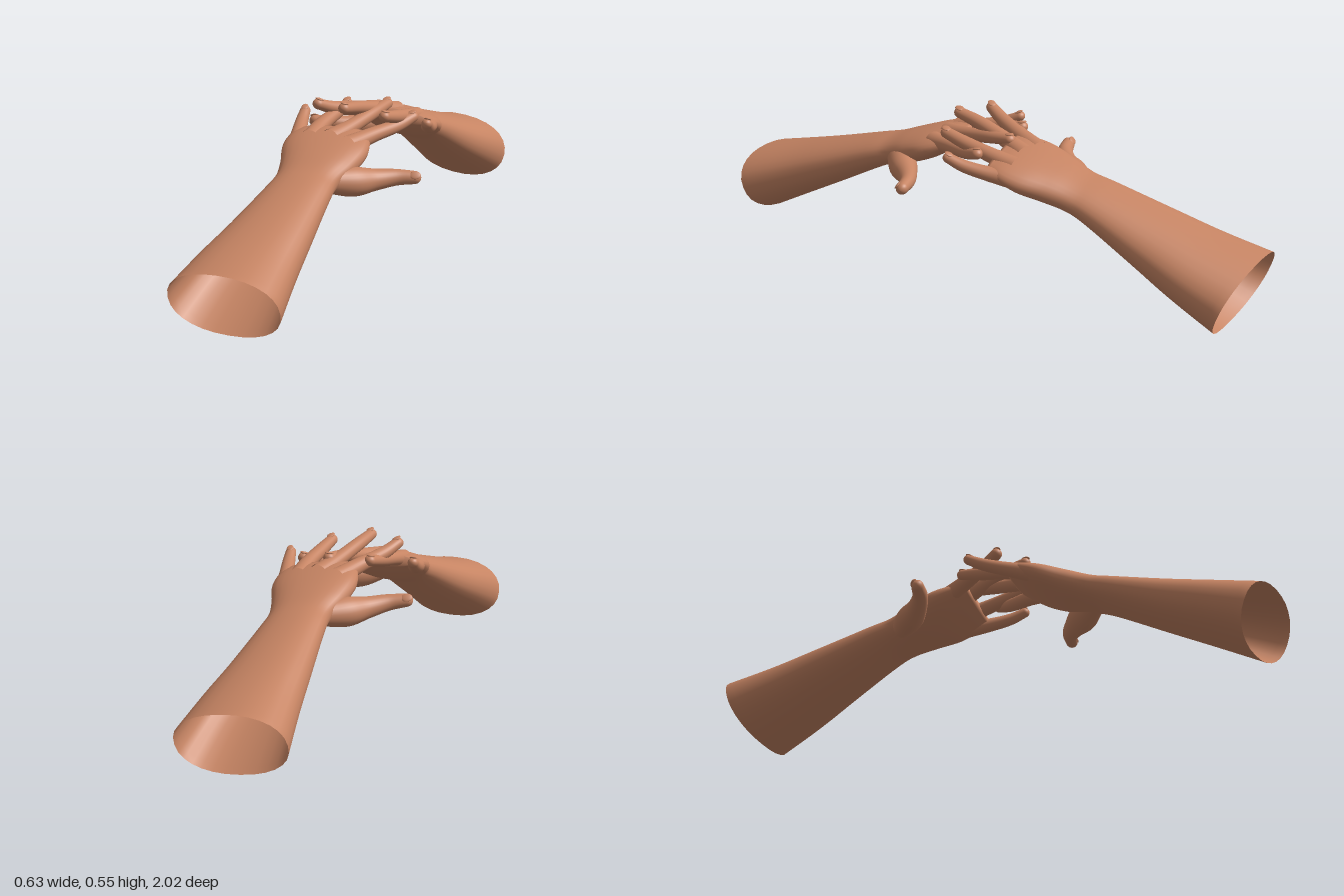
import * as THREE from 'three';

const skin = new THREE.MeshStandardMaterial({ color: 0xc68463, side: THREE.DoubleSide });
skin.name = 'skin';
const SIDES = 28;

// Skin a list of rings { c, right, up } into a smooth tube, closed at its far end.
function loft(rings, power = 1) {
  const pos = [], idx = [];
  const bend = v => Math.sign(v) * Math.pow(Math.abs(v), power);
  for (const { c, right, up } of rings) {
    for (let j = 0; j < SIDES; j++) {
      const a = (j / SIDES) * Math.PI * 2;
      const p = c.clone().addScaledVector(right, bend(Math.cos(a))).addScaledVector(up, bend(Math.sin(a)));
      pos.push(p.x, p.y, p.z);
    }
  }
  for (let i = 0; i < rings.length - 1; i++) {
    for (let j = 0; j < SIDES; j++) {
      const k = (j + 1) % SIDES;
      const a = i * SIDES + j, b = i * SIDES + k;
      idx.push(a, a + SIDES, b, b, a + SIDES, b + SIDES);
    }
  }
  const last = (rings.length - 1) * SIDES;
  const end = rings[rings.length - 1].c;
  pos.push(end.x, end.y, end.z);
  for (let j = 0; j < SIDES; j++) idx.push(last + SIDES, last + ((j + 1) % SIDES), last + j);
  const g = new THREE.BufferGeometry();
  g.setAttribute('position', new THREE.Float32BufferAttribute(pos, 3));
  g.setIndex(idx);
  g.computeVertexNormals();
  return g;
}

function part(geometry, name) {
  const m = new THREE.Mesh(geometry, skin);
  m.name = name;
  return m;
}

const curve = pts => new THREE.CatmullRomCurve3(pts, false, 'catmullrom', 0.5);

// Forearm, wrist and palm: centre x, y, z, half width, half height, sideways slant
const ARM = [
  [-0.13, 0.107, 0.96, 0.188, 0.107, 0.147],
  [-0.115, 0.17, 0.8, 0.164, 0.088, 0.14],
  [-0.093, 0.232, 0.65, 0.139, 0.072, 0.13],
  [-0.068, 0.312, 0.46, 0.111, 0.052, 0.08],
  [-0.06, 0.34, 0.38, 0.106, 0.047, 0.03],
  [-0.051, 0.368, 0.3, 0.126, 0.049, 0],
  [-0.052, 0.398, 0.22, 0.146, 0.045, 0],
  [-0.054, 0.424, 0.155, 0.14, 0.034, 0],
  [-0.052, 0.442, 0.105, 0.115, 0.019, 0],
];

function armGeometry() {
  const centre = curve(ARM.map(s => new THREE.Vector3(s[0], s[1], s[2])));
  const size = curve(ARM.map(s => new THREE.Vector3(s[3], s[4], s[5])));
  const rings = [];
  for (let i = 0; i <= 48; i++) {
    const c = centre.getPoint(i / 48), s = size.getPoint(i / 48);
    rings.push({
      c,
      right: new THREE.Vector3(s.x, 0, s.x * s.z),
      up: new THREE.Vector3(0, s.y, s.y * 0.38),
    });
  }
  return loft(rings, 0.9);
}

// Digits: centre x, y, z and radius from the root to the tip
const DIGITS = {
  littleFinger: [[-0.155, 0.405, 0.2, 0.034], [-0.176, 0.427, 0.11, 0.026], [-0.19, 0.45, 0.035, 0.022], [-0.195, 0.475, -0.018, 0.018]],
  ringFinger: [[-0.112, 0.43, 0.18, 0.034], [-0.104, 0.454, 0.09, 0.027], [-0.085, 0.474, -0.01, 0.024], [-0.066, 0.492, -0.09, 0.02]],
  middleFinger: [[-0.04, 0.435, 0.18, 0.036], [0.003, 0.458, 0.09, 0.027], [0.044, 0.482, -0.02, 0.024], [0.07, 0.497, -0.11, 0.02]],
  indexFinger: [[0.025, 0.42, 0.2, 0.036], [0.078, 0.437, 0.11, 0.028], [0.138, 0.452, 0.015, 0.024], [0.178, 0.472, -0.045, 0.02]],
  thumb: [[0, 0.34, 0.36, 0.04], [0.07, 0.328, 0.3, 0.05], [0.13, 0.326, 0.25, 0.037], [0.19, 0.329, 0.214, 0.028], [0.25, 0.329, 0.199, 0.022]],
};

function digit(points, name) {
  const g = new THREE.Group();
  g.name = name;
  const path = curve(points.map(p => new THREE.Vector3(p[0], p[1], p[2])));
  const radius = curve(points.map(p => new THREE.Vector3(p[3], 0, 0)));
  const hint = name === 'thumb' ? new THREE.Vector3(0, 0.6, 0.8) : new THREE.Vector3(0, 1, 0);
  const frame = t => {
    const dir = path.getTangent(t);
    const right = dir.clone().cross(hint).normalize();
    return { dir, right, up: right.clone().cross(dir) };
  };
  const rings = [];
  const add = (c, f, r) => rings.push({
    c, right: f.right.clone().multiplyScalar(r), up: f.up.clone().multiplyScalar(r * 0.92),
  });
  for (let i = 0; i <= 20; i++) add(path.getPoint(i / 20), frame(i / 20), radius.getPoint(i / 20).x);
  // rounded tip
  const tip = path.getPoint(1), f = frame(1), r = points[points.length - 1][3];
  for (let i = 1; i <= 7; i++) {
    const a = (i / 7) * Math.PI * 0.48;
    add(tip.clone().addScaledVector(f.dir, r * Math.sin(a)), f, r * Math.cos(a));
  }
  g.add(part(loft(rings), name + 'Flesh'));
  // thin nail on the back of the tip
  const nail = new THREE.SphereGeometry(1, 16, 10).scale(r * 0.66, 0.004, r * 0.85);
  const pos = tip.clone().addScaledVector(f.up, r * 0.86).addScaledVector(f.dir, r * 0.1);
  nail.applyMatrix4(new THREE.Matrix4().makeBasis(f.right, f.up, f.dir.clone().negate()).setPosition(pos));
  g.add(part(nail, name + 'Nail'));
  return g;
}

function arm(name) {
  const g = new THREE.Group();
  g.name = name;
  g.add(part(armGeometry(), 'forearmAndPalm'));
  for (const [key, pts] of Object.entries(DIGITS)) g.add(digit(pts, key));
  return g;
}

export function createModel() {
  const model = new THREE.Group();
  model.name = 'reachingArms';
  model.add(arm('frontArm'));
  // second arm turned about to meet the first, slightly rolled and raised
  const back = arm('backArm');
  const turn = new THREE.Matrix4().makeTranslation(-0.016, 0.028, -0.01)
    .multiply(new THREE.Matrix4().makeRotationX(0.04))
    .multiply(new THREE.Matrix4().makeRotationZ(-0.145))
    .multiply(new THREE.Matrix4().makeRotationY(Math.PI));
  back.applyMatrix4(turn);
  model.add(back);
  return model;
}
